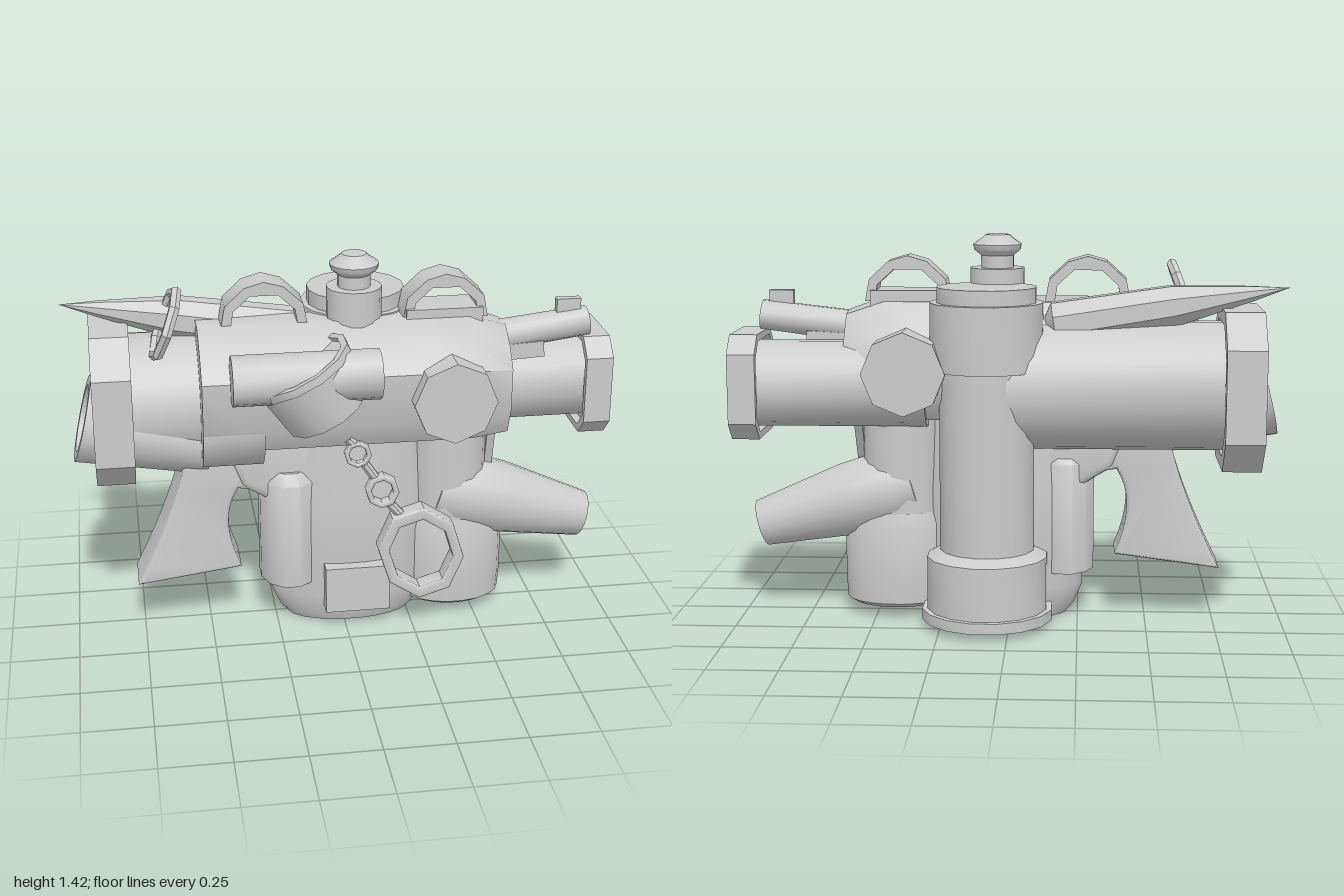
import * as THREE from 'three';
import { toCreasedNormals } from 'three/addons/utils/BufferGeometryUtils.js';

export function createModel() {
  const model = new THREE.Group();
  const material = new THREE.MeshStandardMaterial({ color: 0xcccccc });
  const V = (a) => new THREE.Vector3(...a);
  const UP = new THREE.Vector3(0, 1, 0);

  function add(name, geo, pos = [0, 0, 0], rot = [0, 0, 0]) {
    const mesh = new THREE.Mesh(toCreasedNormals(geo, 0.65), material);
    mesh.name = name;
    mesh.position.set(...pos);
    mesh.rotation.set(...rot);
    model.add(mesh);
    return mesh;
  }
  // Turned part: [radius, distance] pairs along an axis from pos towards dir
  function spin(name, profile, seg, pos, dir = [0, 1, 0]) {
    const pts = profile.map(([r, h]) => new THREE.Vector2(r, h));
    const mesh = add(name, new THREE.LatheGeometry(pts, seg, Math.PI / seg), pos);
    mesh.quaternion.setFromUnitVectors(UP, V(dir).normalize());
    return mesh;
  }
  // Tapered rod between two points; a bore > 0 hollows the far end
  function rod(name, a, b, r1, r2, seg = 16, bore = 0, depth = 0.1) {
    const dir = V(b).sub(V(a)), L = dir.length();
    const end = bore ? [[r2, L], [bore, L], [bore, L - depth], [0, L - depth]] : [[r2, L], [0, L]];
    return spin(name, [[0, 0], [r1, 0], ...end], seg, a, dir.toArray());
  }
  const box = (name, size, pos, rot) => add(name, new THREE.BoxGeometry(...size), pos, rot);
  const points = (pts) => pts.map(([x, y]) => new THREE.Vector2(x, y));
  const outline = (pts) => new THREE.Shape(points(pts));
  function slab(name, shape, depth, bevel = 0) {
    const geo = new THREE.ExtrudeGeometry(shape, {
      depth: depth - 2 * bevel, bevelEnabled: bevel > 0, bevelSize: bevel, bevelThickness: bevel,
      bevelOffset: -bevel, bevelSegments: 3, curveSegments: 8,
    });
    geo.translate(0, 0, bevel - depth / 2);
    return add(name, geo);
  }

  // Faceted housing, tapered at its front end
  const section = outline([[0.19, 0.76], [0.245, 0.86], [0.25, 1.04], [0.18, 1.12], [0.07, 1.19],
    [-0.08, 1.18], [-0.19, 1.07], [-0.245, 0.95], [-0.23, 0.85], [-0.16, 0.76]]);
  const housing = new THREE.ExtrudeGeometry(section, { depth: 1.12, steps: 8, bevelEnabled: false });
  const p = housing.attributes.position;
  for (let i = 0; i < p.count; i++) {
    const z = p.getX(i), y = p.getY(i), x = p.getZ(i) - 0.52;
    const tip = x > 0.55;
    p.setXYZ(i, x, tip && y > 0.9 ? 0.9 + (y - 0.9) * 0.83 : y, tip ? z * 0.76 : z);
  }
  // the axis swap mirrors the solid, so turn its faces back
  for (let i = 0; i < p.count; i += 3) {
    const a = [p.getX(i), p.getY(i), p.getZ(i)];
    p.setXYZ(i, p.getX(i + 1), p.getY(i + 1), p.getZ(i + 1));
    p.setXYZ(i + 1, ...a);
  }
  add('housing', housing);
  rod('rearHousingSkirt', [-0.52, 0.86, 0.035], [-0.3, 0.86, 0.035], 0.205, 0.205, 16);

  // Main barrel with recessed chamfered collars at both ends
  const axisY = 0.883, axisZ = -0.09;
  rod('muzzleBarrel', [0.3, axisY, axisZ], [0.92, axisY, axisZ], 0.158, 0.158);
  rod('rearBarrel', [-0.8, axisY, axisZ], [0.1, axisY, axisZ], 0.235, 0.235, 20);
  const chamfered = (h, c) => [[h, c - h], [h, h - c], [h - c, h], [c - h, h], [-h, h - c], [-h, c - h], [c - h, -h], [h - c, -h]];
  function collar(name, x, width, z, half, cut, rim, recess) {
    const ring = outline(chamfered(half, cut));
    ring.holes.push(new THREE.Path(points(chamfered(half - rim, cut * 0.9).reverse())));
    const parts = [slab(name, ring, width), slab(name + 'Plate', outline(chamfered(half - 0.005, cut)), width - 2 * recess)];
    for (const part of parts) {
      part.position.set(x, axisY, z);
      part.rotation.y = Math.PI / 2;
    }
  }
  collar('muzzleCollar', 0.95, 0.1, -0.088, 0.19, 0.065, 0.025, 0.03);
  collar('rearCollar', -0.83, 0.14, -0.105, 0.284, 0.12, 0.05, 0.05);
  rod('exhaustTube', [-0.48, 0.73, 0], [-0.94, 0.845, 0], 0.125, 0.16, 14, 0.125, 0.2);
  rod('crossStub', [0.37, 0.945, -0.31], [0.37, 0.945, 0.31], 0.15, 0.15, 8).rotateY(Math.PI / 8);

  // Upright canister at the back
  spin('canister', [[0, 0.03], [0.241, 0.03], [0.241, 0.07], [0.221, 0.07], [0.221, 0.265], [0.173, 0.29],
    [0.173, 0.95], [0.205, 0.95], [0.205, 1.19], [0.18, 1.19], [0.18, 1.245], [0, 1.245]], 16, [0.08, 0, -0.17]);

  // Lower oval tank, side lobe and bottom plate
  spin('tank', [[0, 0.003], [0.235, 0.005], [0.265, 0.04], [0.3, 0.12], [0.3, 0.5], [0.27, 0.8], [0, 0.8]],
    24, [0.03, 0, 0]).scale.z = 0.49;
  spin('tankLobe', [[0, 0], [0.16, 0.008], [0.19, 0.025], [0.195, 0.1], [0.195, 0.32], [0.15, 0.42], [0, 0.47]],
    20, [0.427, 0.035, 0]).scale.z = 0.73;
  slab('tankNeck', outline([[-0.1, 0.5], [-0.1, 0.8], [-0.3, 0.8], [-0.42, 0.68], [-0.38, 0.58], [-0.25, 0.5]]), 0.22, 0.03);
  box('tankPlate', [0.24, 0.18, 0.1], [0.04, 0.17, 0.14]);

  // Bent outlet nozzle with a pointed guard
  rod('nozzleElbow', [0.405, 0.4, 0], [0.405, 0.85, 0], 0.145, 0.145).scale.z = 0.9;
  spin('nozzle', [[0, 0], [0.13, 0.02], [0.146, 0.1], [0.138, 0.28], [0.088, 0.62], [0.07, 0.62], [0.07, 0.48], [0, 0.48]],
    18, [0.34, 0.505, 0], [0.595, -0.17, 0]);
  const guard = slab('nozzleGuard', outline([[-0.07, 0.76], [-0.02, 0.57], [0.1, 0.76]]), 0.03);
  guard.position.x = 0.56;
  guard.rotation.y = Math.PI / 2;

  // Side cartridge and flared grip
  spin('cartridge', [[0, 0.18], [0.112, 0.18], [0.112, 0.59], [0.085, 0.63], [0, 0.63]], 12, [-0.2, 0, 0.015]).scale.z = 1.32;
  const grip = new THREE.Shape();
  grip.moveTo(-0.77, 0.2);
  grip.lineTo(-0.385, 0.25);
  grip.quadraticCurveTo(-0.47, 0.45, -0.39, 0.57);
  grip.lineTo(-0.33, 0.56);
  grip.lineTo(-0.33, 0.7);
  grip.lineTo(-0.58, 0.7);
  grip.quadraticCurveTo(-0.62, 0.5, -0.77, 0.2);
  slab('grip', grip, 0.2, 0.015);

  // Carrying arches on top
  for (const x of [-0.28, 0.375]) {
    const arch = outline([[-0.155, 1.18], [-0.14, 1.26], [-0.07, 1.325], [0.0, 1.345], [0.07, 1.325], [0.14, 1.26],
      [0.155, 1.18], [0.12, 1.18], [0.11, 1.24], [0.05, 1.295], [-0.05, 1.295], [-0.11, 1.24], [-0.12, 1.18]]);
    slab('carryArch', arch, 0.12).position.x = x;
  }
  box('frontTopPlate', [0.28, 0.08, 0.15], [0.37, 1.18, 0]);
  spin('topKnob', [[0, 1.1], [0.1, 1.1], [0.1, 1.3], [0.06, 1.3], [0.06, 1.345], [0.085, 1.365], [0.09, 1.385],
    [0.055, 1.41], [0.045, 1.42], [0, 1.425]], 16, [0.05, 0, 0]);

  // Small upper barrel with post sight
  rod('upperBarrel', [0.4, 1.06, 0], [0.92, 1.125, 0], 0.06, 0.055, 12, 0.04, 0.12);
  box('postSight', [0.09, 0.05, 0.03], [0.845, 1.19, 0]);
  box('upperBarrelRest', [0.3, 0.06, 0.1], [0.6, 1.03, 0], [0, 0, 0.06]);

  // Rear spike and hoop
  spin('spike', [[0, 0], [0.03, 0.14], [0.078, 0.42], [0.085, 0.85], [0, 0.9]], 8, [-1, 1.24, -0.115], [0.5, -0.08, 0]);
  add('hoop', new THREE.TorusGeometry(0.125, 0.02, 6, 8), [-0.63, 1.195, 0.02]).rotation.set(0, Math.PI / 2, -0.36, 'ZYX');

  // Side sight on a tilted drum
  rod('sideSight', [-0.42, 1.065, 0.28], [0.1, 1.065, 0.28], 0.09, 0.09, 12, 0.055, 0.06);
  spin('sightDrum', [[0, -0.1], [0.15, -0.1], [0.178, 0.08], [0.19, 0.08], [0.19, 0.11], [0.165, 0.11], [0.165, 0.095],
    [0, 0.095]], 12, [-0.125, 0.995, 0.222], [-0.47, 0.88, 0]);

  // Hanging chain with an eight-sided ring
  function link(name, x, y, r, w, depth, stretch) {
    const ring = (rad) => Array.from({ length: 8 }, (_, i) => {
      const t = (i + 0.5) * Math.PI / 4;
      return [rad * Math.cos(t), rad * Math.sin(t) * stretch];
    });
    const shape = outline(ring(r));
    shape.holes.push(new THREE.Path(points(ring(r - w).reverse())));
    const mesh = slab(name, shape, depth, 0.008);
    mesh.position.set(x, y, 0.2);
    mesh.rotation.z = 0.3;
  }
  link('chainLink', 0.035, 0.73, 0.05, 0.018, 0.035, 1.05);
  link('chainLink', 0.125, 0.58, 0.062, 0.022, 0.045, 1.1);
  link('pullRing', 0.27, 0.325, 0.158, 0.04, 0.075, 1.2);
  for (const [a, b] of [[[0, 0.79], [0.02, 0.77]], [[0.06, 0.69], [0.1, 0.63]], [[0.15, 0.53], [0.2, 0.47]]])
    rod('chainPin', [...a, 0.2], [...b, 0.2], 0.018, 0.018, 8);

  return model;
}
